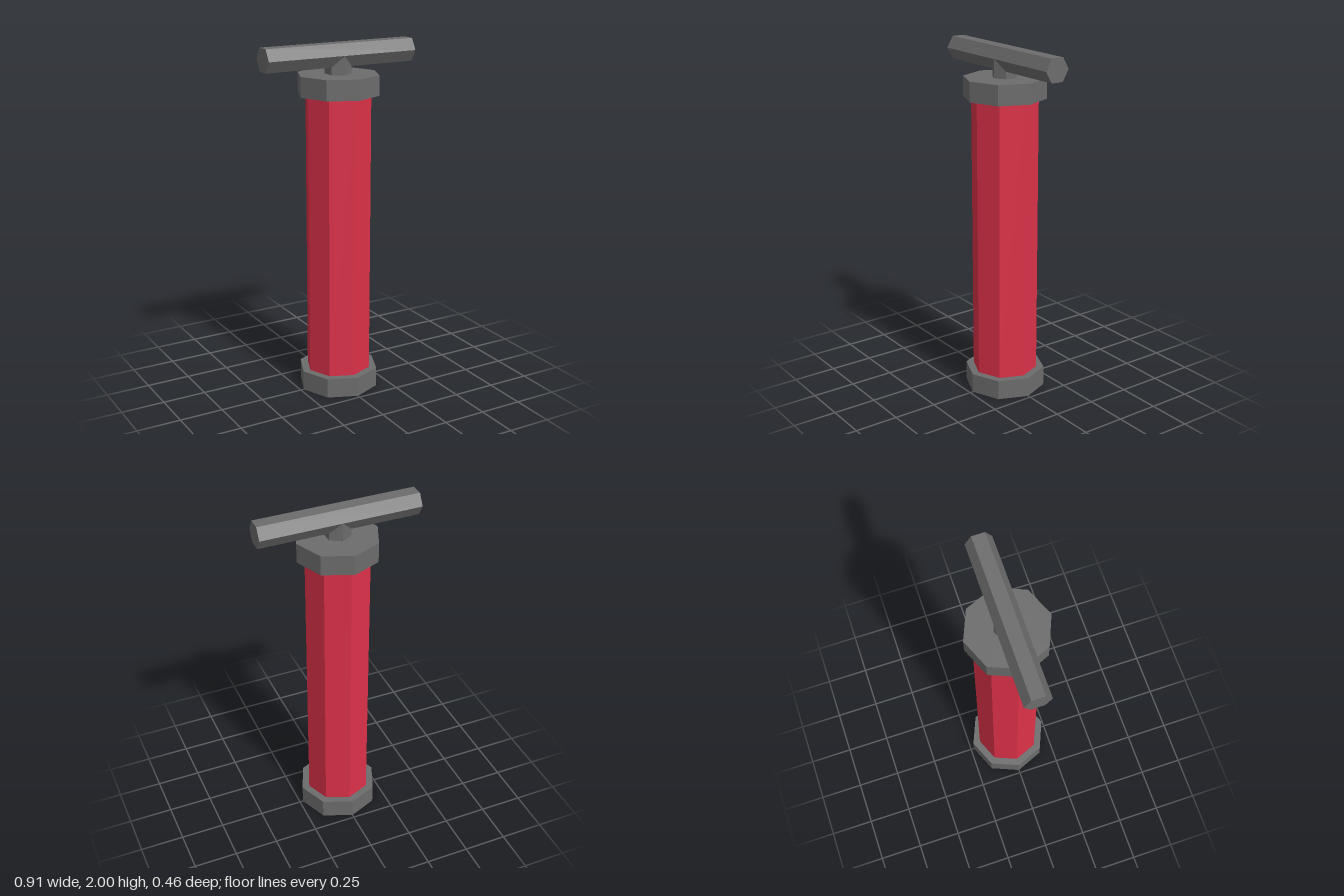
import * as THREE from 'three';

export function createModel() {
  const group = new THREE.Group();
  group.name = 'plungerCylinder';

  const red = new THREE.MeshStandardMaterial({ color: 0xdc3148, flatShading: true });
  red.name = 'red';
  const grey = new THREE.MeshStandardMaterial({ color: 0x6c6c6c, flatShading: true });
  grey.name = 'grey';

  // Upright prism spanning y0 to y1, with a corner facing the front
  function prism(name, radius, y0, y1, sides, material) {
    const geometry = new THREE.CylinderGeometry(radius, radius, y1 - y0, sides);
    const mesh = new THREE.Mesh(geometry, material);
    mesh.name = name;
    mesh.position.y = (y0 + y1) / 2;
    group.add(mesh);
    return mesh;
  }

  // Eight-sided tube with wider end caps
  prism('bottomCap', 0.231, 0, 0.114, 8, grey);
  prism('body', 0.187, 0.114, 1.72, 8, red);
  prism('topCap', 0.231, 1.72, 1.833, 8, grey);

  // Six-sided neck ending inside the crossbar
  prism('neck', 0.073, 1.833, 1.937, 6, grey);

  // Six-sided crossbar handle lying along x
  const handle = new THREE.Mesh(new THREE.CylinderGeometry(0.073, 0.073, 0.908, 6), grey);
  handle.name = 'handle';
  handle.rotation.z = Math.PI / 2;
  handle.position.y = 1.937;
  group.add(handle);

  return group;
}
